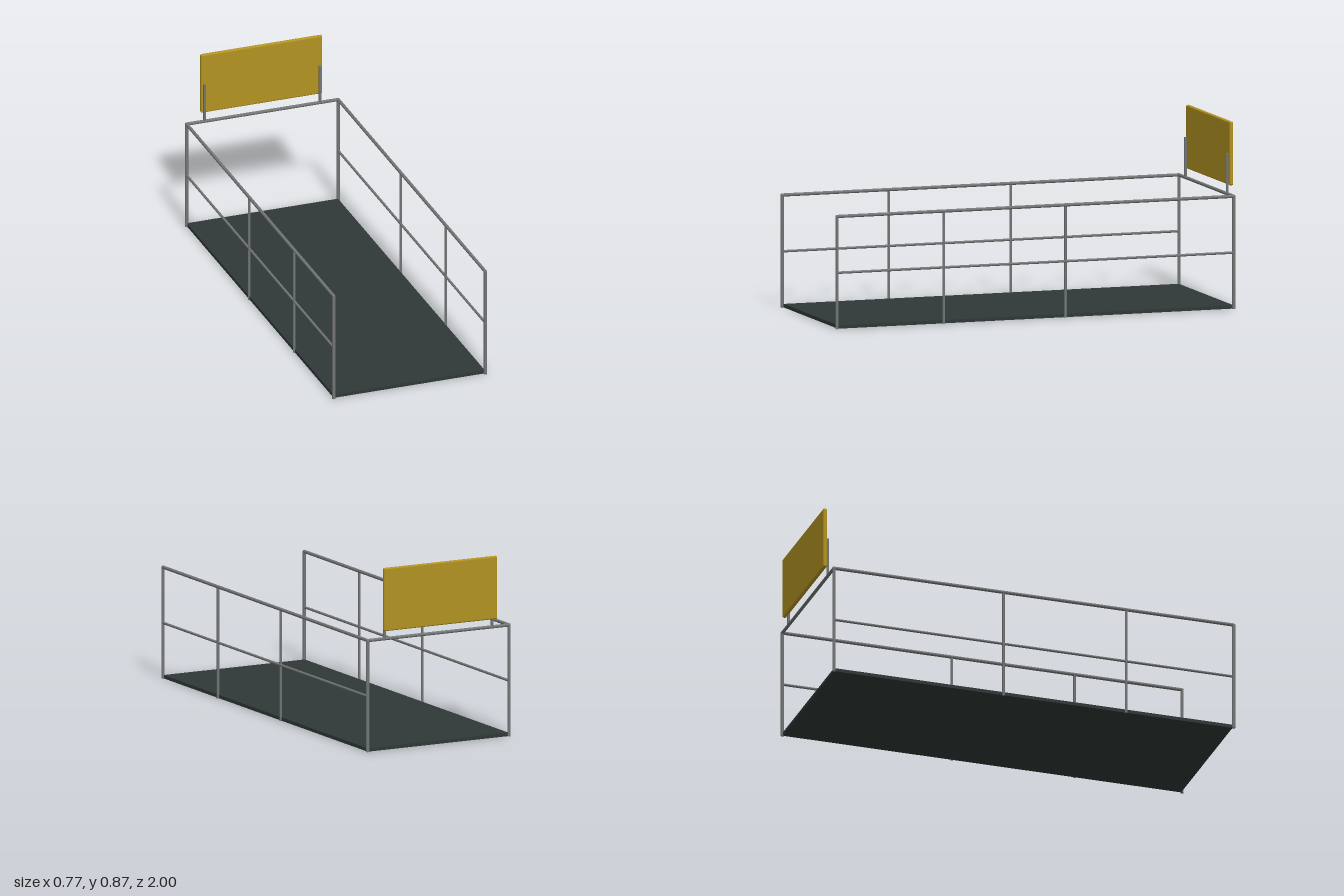
import * as THREE from 'three';
import { RoundedBoxGeometry } from 'three/addons/geometries/RoundedBoxGeometry.js';

export function createModel() {
  const group = new THREE.Group();
  const steel = new THREE.MeshStandardMaterial({ color: 0x747777 });
  const deckGrey = new THREE.MeshStandardMaterial({ color: 0x2f3937 });
  const signYellow = new THREE.MeshStandardMaterial({ color: 0xb39322 });
  steel.name = 'steel';
  deckGrey.name = 'deckGrey';
  signYellow.name = 'signYellow';

  const add = (name, geometry, material, x, y, z) => {
    const mesh = new THREE.Mesh(geometry, material);
    mesh.name = name;
    mesh.position.set(x, y, z);
    group.add(mesh);
    return mesh;
  };

  // Straight round bar between two points
  const up = new THREE.Vector3(0, 1, 0);
  const bar = (name, a, b, r) => {
    const from = new THREE.Vector3(...a), to = new THREE.Vector3(...b);
    const dir = to.clone().sub(from);
    const mid = from.add(to).multiplyScalar(0.5);
    const mesh = add(name, new THREE.CylinderGeometry(r, r, dir.length(), 16), steel, mid.x, mid.y, mid.z);
    mesh.quaternion.setFromUnitVectors(up, dir.normalize());
  };

  const X = 0.377, FRONT = 0.992, BACK = -0.974, TOP = 0.53, R = 0.0078, THIN = 0.006;

  // Deck plate
  add('deck', new THREE.BoxGeometry(0.752, 0.016, 1.96), deckGrey, 0, 0.009, 0.007);

  // Side railings
  for (const s of [-1, 1]) {
    const x = s * X;
    for (const z of [FRONT, BACK]) {
      bar('cornerPost', [x, 0, z], [x, TOP, z], R);
      add('railCorner', new THREE.SphereGeometry(R, 16, 10), steel, x, TOP, z);
    }
    for (const z of [0.463, -0.14]) bar('middlePost', [x, 0, z], [x, TOP, z], THIN);
    bar('topRail', [x, TOP, FRONT], [x, TOP, BACK], R);
    bar('middleRail', [x, 0.265, FRONT], [x, 0.265, BACK], THIN);
    bar('signPost', [s * 0.287, TOP, BACK], [s * 0.287, 0.72, BACK], 0.0068);
  }

  // Rear crossbar
  bar('rearRail', [-X, TOP, BACK], [X, TOP, BACK], R);

  // Sign panel with softened edges
  add('signPanel', new RoundedBoxGeometry(0.604, 0.3, 0.019, 3, 0.007), signYellow, 0, 0.72, -0.9905);

  return group;
}
